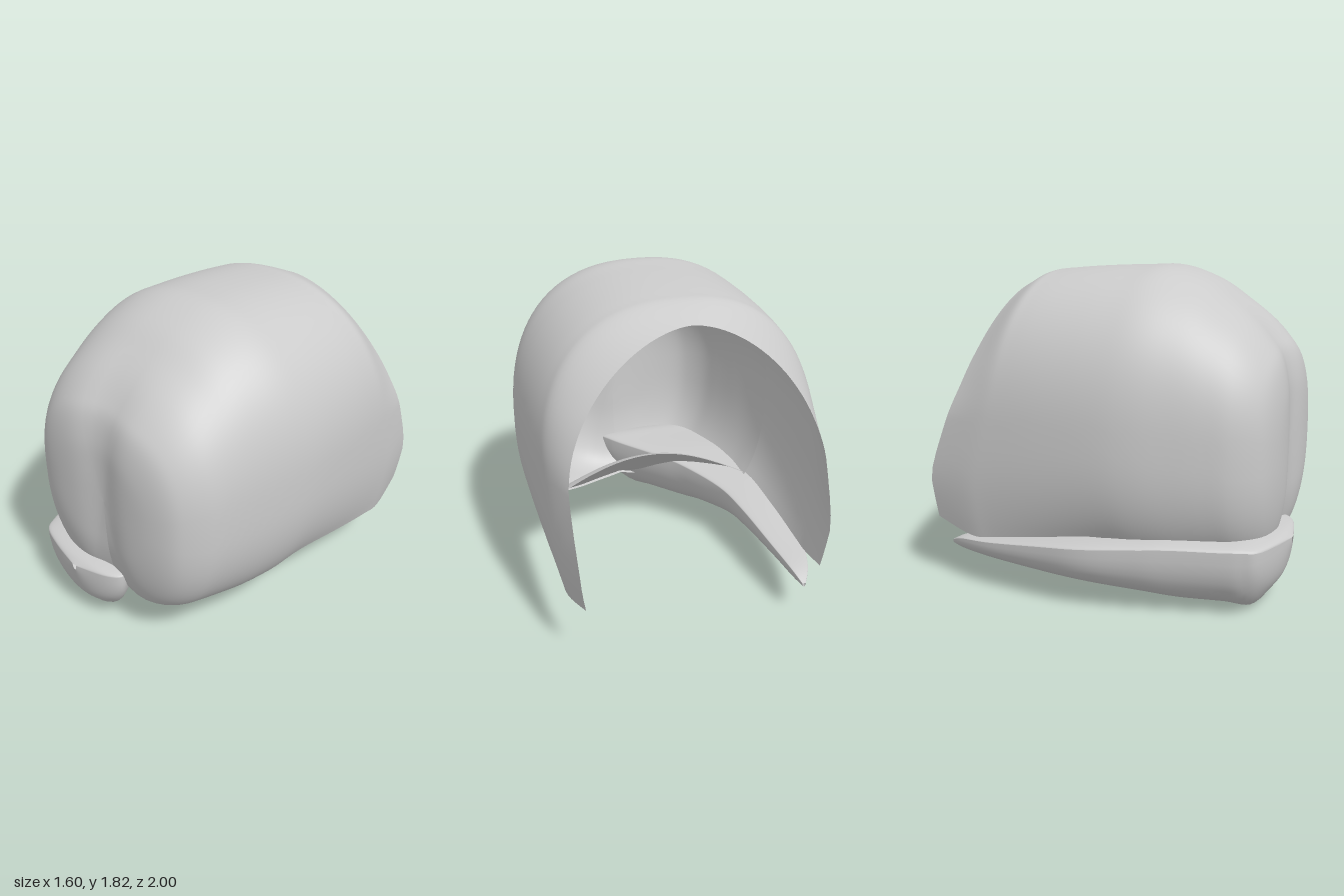
import * as THREE from 'three';

const material = new THREE.MeshStandardMaterial({ color: 0xcccccc, side: THREE.DoubleSide });
const { clamp, degToRad, smoothstep, lerp } = THREE.MathUtils;

// Smooth surface through a grid point(i / nu, j / nv)
function surface(name, nu, nv, point) {
  const pos = [], index = [];
  for (let j = 0; j <= nv; j++)
    for (let i = 0; i <= nu; i++) pos.push(...point(i / nu, j / nv));
  for (let j = 0; j < nv; j++)
    for (let i = 0; i < nu; i++) {
      const a = j * (nu + 1) + i, b = a + 1, c = a + nu + 1, d = c + 1;
      index.push(a, b, c, b, d, c);
    }
  const g = new THREE.BufferGeometry();
  g.setAttribute('position', new THREE.Float32BufferAttribute(pos, 3));
  g.setIndex(index);
  g.computeVertexNormals();
  const mesh = new THREE.Mesh(g, material);
  mesh.name = name;
  return mesh;
}

// Linear lookup in rows sorted by their first entry
function lookup(rows, x) {
  let k = 0;
  while (k < rows.length - 2 && x > rows[k + 1][0]) k++;
  const a = rows[k], b = rows[k + 1];
  const t = clamp((x - a[0]) / (b[0] - a[0]), 0, 1);
  return a.map((v, i) => v + (b[i] - v) * t);
}

// Row at fractional position s, on a Catmull-Rom spline through the rows
function rowAt(rows, s) {
  const last = rows.length - 1, k = Math.min(Math.floor(s), last - 1), t = s - k;
  const p0 = rows[Math.max(k - 1, 0)], p3 = rows[Math.min(k + 2, last)];
  return rows[k].map((b, i) => {
    const a = p0[i], c = rows[k + 1][i], d = p3[i];
    return b + 0.5 * t * (c - a + t * (2 * a - 5 * b + 4 * c - d + t * (3 * (b - c) + d - a)));
  });
}

// Shell arches from back to front:
// z, half width, top, bottom, middle height, end angle, roundness of the upper half
const arches = [
  [-1, 0.69, 1.70, 0.37, 0.95, 22, 1.15],
  [-0.76, 0.745, 1.77, 0.30, 0.95, 25, 0.88],
  [-0.6, 0.765, 1.785, 0.31, 0.95, 28, 0.84],
  [-0.3, 0.785, 1.80, 0.35, 0.95, 32, 0.84],
  [0.06, 0.79, 1.81, 0.39, 0.95, 36, 0.84],
  [0.26, 0.77, 1.81, 0.33, 0.95, 42, 0.84],
  [0.46, 0.72, 1.74, 0.24, 0.92, 54, 0.82],
  [0.62, 0.675, 1.635, 0.18, 0.9, 72, 0.8],
  [0.75, 0.63, 1.535, 0.18, 0.88, 90, 0.78],
  [0.85, 0.56, 1.43, 0.24, 0.87, 90, 0.76],
  [0.91, 0.48, 1.34, 0.36, 0.86, 90, 0.76],
  [0.945, 0.35, 1.2, 0.52, 0.86, 90, 0.76],
  [0.955, 0.18, 1.04, 0.69, 0.86, 90, 0.76],
  [0.957, 0.001, 0.861, 0.859, 0.86, 90, 0.76],
];
const middleArch = 4, closedArch = 8, frontArch = arches.length - 1;
// Slanted back rim: height, z
const backRim = [[0.3, -0.97], [0.37, -0.98], [0.6, -1], [0.7, -0.98], [1.15, -0.8], [1.36, -0.74], [1.7, -0.66], [1.82, -0.64]];

function shellPoint(u, s, inset) {
  const [z0, w, top, bottom, mid, angle, round] = rowAt(arches, s);
  const end = degToRad(Math.min(angle, 90));
  const a = -end + u * (Math.PI + 2 * end);
  const upper = Math.sin(a) > 0;
  const power = (n) => Math.sign(n) * Math.abs(n) ** (upper ? round : 0.78);
  const drop = (mid - bottom) / Math.sin(end) ** 0.78;
  let x = w * power(Math.cos(a));
  let y = mid + power(Math.sin(a)) * (upper ? top - mid : drop);
  let z = z0 < 0 ? -z0 * lookup(backRim, y)[1] : z0;
  // Shallow groove down the middle of the front
  z -= 0.04 * Math.exp(-((x / 0.13) ** 2)) * smoothstep(z, 0.5, 0.95);
  // The lining sits a little inside the outer wall
  x *= 1 - inset;
  y -= upper ? (y - mid) * inset : 0;
  z -= inset * smoothstep(z, 0.1, 0.9);
  return [x, y, z];
}

// Vaulted floor between the lower edges of the front half
function floorPoint(u, v) {
  const s = lerp(middleArch, closedArch, v);
  const a = shellPoint(0, s, 0), b = shellPoint(1, s, 0);
  const vault = 0.24 * (1 - v) * Math.sin(u * Math.PI);
  return [lerp(a[0], b[0], u), a[1] + vault, a[2]];
}

// Cup under the right cheek, back tip to front: z, outer x, inner x, lowest y, rim y
const cupRows = [
  [-0.92, -0.61, -0.59, 0.2, 0.22],
  [-0.82, -0.67, -0.565, 0.185, 0.26],
  [-0.6, -0.74, -0.54, 0.17, 0.29],
  [-0.25, -0.795, -0.5, 0.145, 0.335],
  [0.0, -0.81, -0.45, 0.125, 0.36],
  [0.28, -0.76, -0.32, 0.085, 0.38],
  [0.46, -0.715, -0.2, 0.05, 0.39],
  [0.70, -0.65, -0.02, 0.02, 0.39],
  [0.82, -0.61, 0.06, 0.0, 0.39],
  [0.90, -0.56, 0.09, 0.08, 0.385],
  [0.96, -0.40, 0.0, 0.17, 0.38],
  [1.0, -0.22, -0.19, 0.34, 0.37],
];

function cupPoint(u, v) {
  const [z, xa, xb, low, rim] = rowAt(cupRows, v * (cupRows.length - 1));
  // First half of the loop is the rounded underside, second half the gently domed top
  const under = u <= 0.5;
  const a = (under ? u * 2 : 2 - u * 2) * Math.PI;
  const depth = Math.max(Math.sin(a), 0) ** 0.9 * (under ? 1 : -0.1);
  return [(xa + xb) / 2 - Math.cos(a) * (xb - xa) / 2, rim - (rim - low) * depth, z];
}

export function createModel() {
  const model = new THREE.Group();
  model.name = 'openShell';
  model.add(
    surface('outerShell', 64, 65, (u, v) => shellPoint(u, v * frontArch, 0)),
    surface('innerLining', 64, 45, (u, v) => shellPoint(u, lerp(middleArch, frontArch, v), 0.03)),
    surface('floor', 32, 20, floorPoint),
    surface('cheekCup', 40, 55, cupPoint),
  );
  return model;
}
